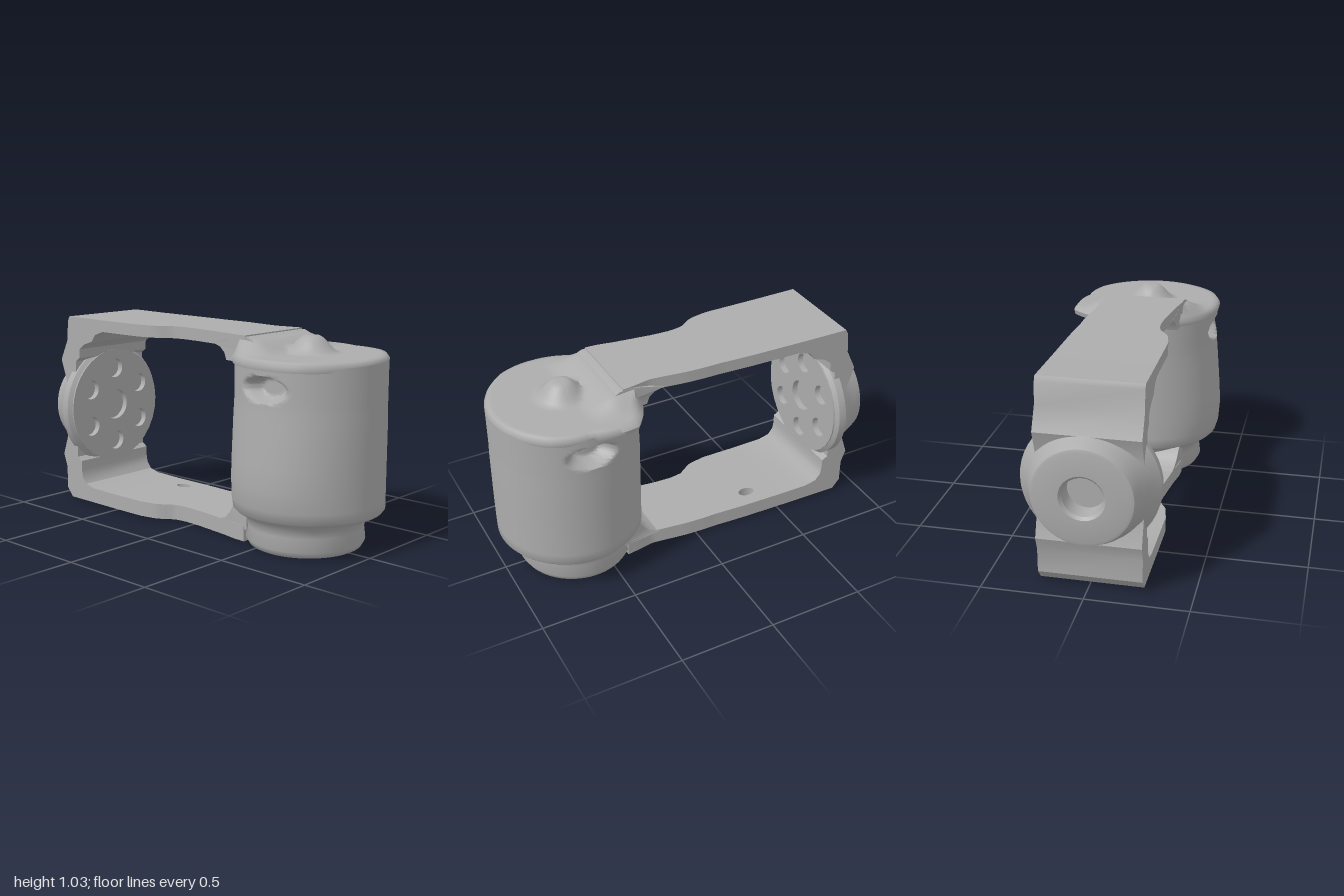
import * as THREE from 'three';
import { mergeVertices, toCreasedNormals } from 'three/addons/utils/BufferGeometryUtils.js';

const V = (x, y) => new THREE.Vector2(x, y);
const smooth = THREE.MathUtils.smoothstep;

// Linear interpolation in a table of [key, value, value...] rows
function lookup(table, key, column) {
  for (let i = 1; i < table.length; i++) {
    const a = table[i - 1], b = table[i];
    if (key <= b[0]) {
      const t = Math.max(0, (key - a[0]) / (b[0] - a[0]));
      return a[column] + (b[column] - a[column]) * t;
    }
  }
  return table[table.length - 1][column];
}

// Move every vertex by a rule
function warp(geo, rule) {
  const p = geo.attributes.position, v = new THREE.Vector3();
  for (let i = 0; i < p.count; i++) {
    rule(v.fromBufferAttribute(p, i));
    p.setXYZ(i, v.x, v.y, v.z);
  }
  return geo;
}

function finish(geo, crease = 0.65) {
  geo.deleteAttribute('uv');
  geo.deleteAttribute('normal');
  return toCreasedNormals(mergeVertices(geo, 1e-4), crease);
}

// Strap edges along the length: z, right edge x, left edge x
const edges = [
  [-0.9, -0.26, 0.245], [-0.3, -0.26, 0.23], [-0.2, -0.24, 0.225], [-0.12, -0.185, 0.22],
  [-0.05, -0.175, 0.22], [0.05, -0.18, 0.215], [0.25, -0.205, 0.19], [0.33, -0.22, 0.205],
  [0.6, -0.24, 0.24],
];

// Flat strap in plan, following the edges between two z positions
function strap(back, front, thickness, holes = []) {
  const left = [], right = [];
  for (let i = 0; i <= 40; i++) {
    const z = back + (front - back) * i / 40;
    right.push(V(lookup(edges, z, 1), -z));
    left.unshift(V(lookup(edges, z, 2), -z));
  }
  const plan = new THREE.Shape([...right, ...left]);
  plan.holes.push(...holes);
  const geo = new THREE.ExtrudeGeometry(plan, { depth: thickness, bevelEnabled: false });
  return finish(geo.rotateX(-Math.PI / 2));
}

// Side profile in (z, y) extruded across the strap width
function crossBar(profile) {
  const shape = new THREE.Shape(profile.map(p => V(...p)));
  const geo = new THREE.ExtrudeGeometry(shape, { depth: 1, bevelEnabled: false });
  geo.translate(0, 0, -0.5).rotateY(-Math.PI / 2);
  return finish(warp(geo, v => { v.x = lookup(edges, v.z, v.x < 0 ? 1 : 2); }));
}

// Round plate with a centre hole and six holes around it
function horn(radius, depth) {
  const shape = new THREE.Shape().absarc(0, 0, radius, 0, Math.PI * 2);
  const hole = (x, y, r) => shape.holes.push(new THREE.Path().absarc(x, y, r, 0, Math.PI * 2, true));
  hole(0, 0, radius * 0.27);
  for (let i = 0; i < 6; i++) {
    const a = Math.PI / 2 + i * Math.PI / 3;
    hole(Math.cos(a) * radius * 0.66, Math.sin(a) * radius * 0.66, radius * 0.17);
  }
  return finish(new THREE.ExtrudeGeometry(shape, { depth, bevelEnabled: false, curveSegments: 16 }));
}

export function createModel() {
  const group = new THREE.Group();
  const grey = new THREE.MeshStandardMaterial({ color: 0xacacac });
  grey.name = 'grey plastic';
  const add = (name, geo, x = 0, y = 0, z = 0) => {
    const mesh = new THREE.Mesh(geo, grey);
    mesh.name = name;
    mesh.position.set(x, y, z);
    group.add(mesh);
  };

  // Motor housing with a pocket in each side
  const wall = [V(0, 0.185), V(0.36, 0.185), V(0.372, 0.2)];
  for (let y = 0.25; y < 0.7; y += 0.1) wall.push(V(0.372, y));
  for (let y = 0.72; y < 0.94; y += 0.01) wall.push(V(0.37, y));
  wall.push(V(0, 0.94));
  const housing = warp(new THREE.LatheGeometry(wall, 160), v => {
    const r = Math.hypot(v.x, v.z);
    if (r < 0.3) return;
    const d = Math.hypot(v.z / 0.125, (v.y - 0.815) / 0.06);
    const inset = 0.09 * (1 - smooth(d, 0.7, 1.1));
    // the right side swells slightly toward the bottom
    const swell = v.x < 0 ? 1 + 0.08 * (1 - smooth(v.y, 0.3, 0.8)) * smooth(v.y, 0.15, 0.3) : 1;
    v.x *= (1 - inset / r) * swell;
    v.z *= 1 - inset / r;
  });
  add('motorHousing', finish(housing, 1.2), 0, 0, 0.63);

  // Housing cap: uneven rim, centre knob and rise toward the strap
  const rim = [0.37, 0.371, 0.38, 0.37, 0.45, 0.385, 0.33, 0.385, 0.385, 0.38, 0.385, 0.371, 0.37]
    .map((r, i) => [i * Math.PI / 6, r]);
  const capProfile = [V(0, 0.905), V(0.985, 0.905), V(1, 0.93), V(0.96, 0.95)];
  for (let i = 18; i >= 0; i--) capProfile.push(V(i / 20, 0.952));
  const cap = warp(new THREE.LatheGeometry(capProfile, 96), v => {
    const angle = (Math.atan2(v.x, v.z) + Math.PI * 2) % (Math.PI * 2);
    const r = lookup(rim, angle, 1);
    v.x *= r;
    v.z *= r;
    if (v.y < 0.951) return;
    const knob = 0.083 * (1 - smooth(Math.hypot(v.x, v.z), 0.03, 0.14));
    const rise = 0.065 * smooth(-v.z, 0.02, 0.2) * (1 - smooth(Math.abs(v.x), 0.2, 0.34));
    v.y += Math.max(knob, rise);
  });
  add('housingCap', finish(cap, 0.9), 0, 0, 0.63);

  // Top strap and its blend into the housing
  add('topStrap', strap(-0.84, 0.4, 0.062), 0, 0.971, 0);
  add('topBlend', crossBar([
    [0.56, 0.95], [0.5, 0.985], [0.42, 1.025], [0.36, 1.03], [0.17, 0.975],
    [0.22, 0.96], [0.25, 0.935], [0.265, 0.9], [0.45, 0.9],
  ]));

  // Upright back plate with rounded inner corners, thicker around the hub
  add('backPlate', crossBar([
    [-0.6, 1.033], [-0.85, 1.035], [-0.862, 1.01], [-0.872, 0.9], [-0.925, 0.79], [-0.88, 0.66],
    [-0.88, 0.38], [-0.925, 0.25], [-0.9, 0.18], [-0.9, 0.06], [-0.86, 0.01], [-0.5, 0.007],
    [-0.5, 0.087], [-0.68, 0.09], [-0.74, 0.105], [-0.768, 0.14], [-0.775, 0.18], [-0.775, 0.23],
    [-0.805, 0.25], [-0.805, 0.79], [-0.775, 0.81], [-0.77, 0.86], [-0.73, 0.89], [-0.67, 0.91],
    [-0.64, 0.95], [-0.58, 0.971],
  ]));

  // Bottom strap with a small hole, and its blend into the housing
  const boltHole = new THREE.Path().absellipse(0.13, 0.36, 0.03, 0.045, 0, Math.PI * 2, true);
  add('bottomStrap', strap(-0.5, 0.4, 0.08, [boltHole]), 0, 0.007, 0);
  add('bottomBlend', crossBar([[0.2, 0.08], [0.26, 0.1], [0.3, 0.14], [0.33, 0.19], [0.42, 0.19], [0.42, 0.07]]));

  // Foot under the housing, with a drilled plate below
  const foot = [[0, 0.05], [0.262, 0.05], [0.268, 0], [0.28, 0.006], [0.296, 0.035],
    [0.288, 0.1], [0.298, 0.14], [0.32, 0.165], [0.345, 0.19]];
  add('foot', finish(new THREE.LatheGeometry(foot.map(p => V(...p)), 48)), 0, 0, 0.61);
  add('footPlate', horn(0.27, 0.054).rotateX(Math.PI / 2).translate(0, 0.055, 0), 0, 0, 0.61);

  // Rear hub: tapered outside with a centre socket, drilled plate inside
  const hub = [[0.31, 0.775], [0.335, 0.795], [0.335, 0.835], [0.285, 0.89], [0.262, 0.95],
    [0.24, 0.995], [0.225, 1], [0.11, 1], [0.097, 0.985], [0.093, 0.9], [0, 0.9]];
  const hubGeo = new THREE.LatheGeometry(hub.map(p => V(...p)), 48).rotateX(-Math.PI / 2);
  add('rearHub', finish(hubGeo), 0, 0.52, 0);
  add('rearHubPlate', horn(0.315, 0.04), 0, 0.52, -0.811);
  add('rearHubBacking', finish(new THREE.CircleGeometry(0.32, 48)), 0, 0.52, -0.804);
  return group;
}
